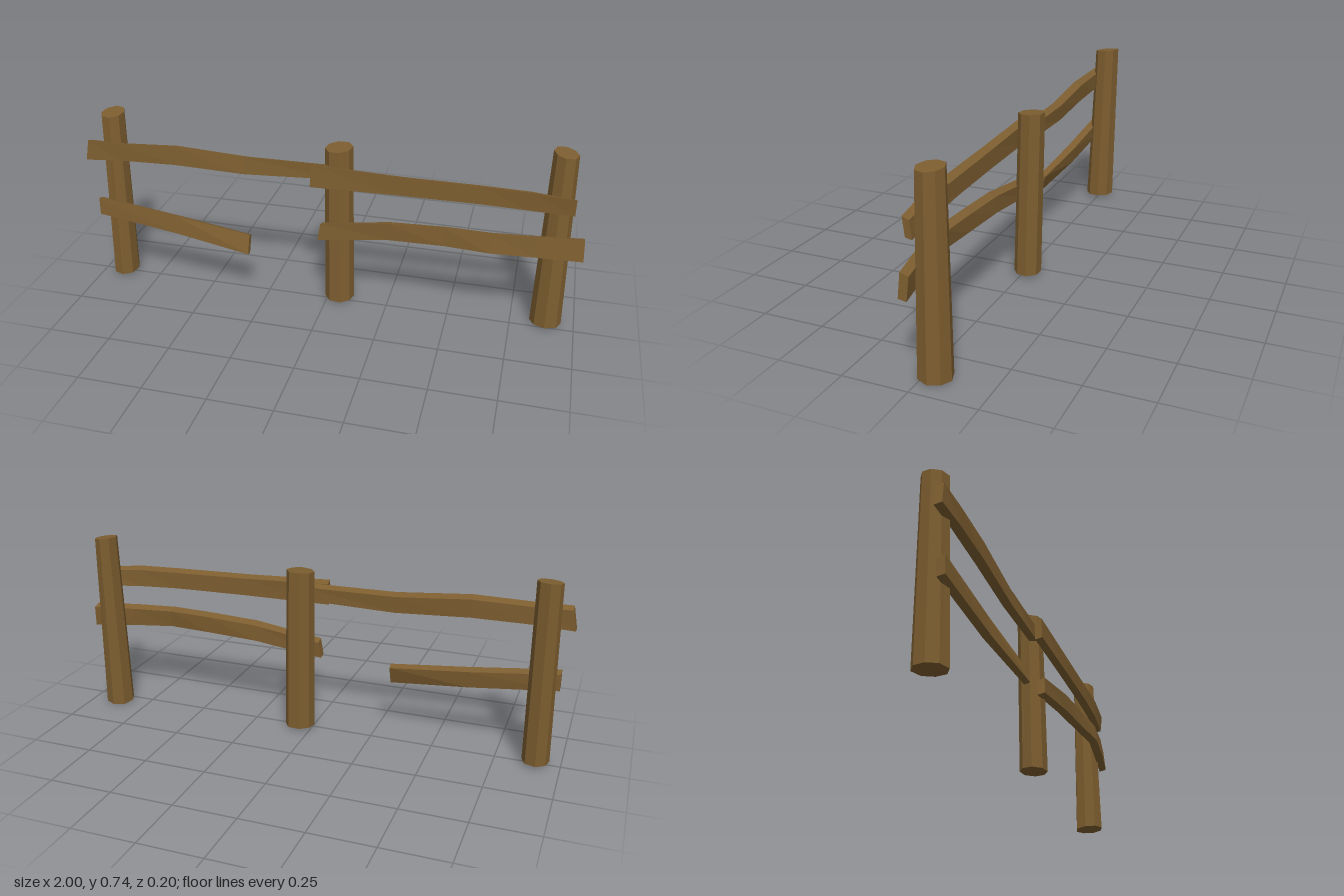
import * as THREE from 'three';

const wood = new THREE.MeshStandardMaterial({ color: 0x7d5e30, flatShading: true, roughness: 0.9 });

// Closed, capped solid through rings of corners (anticlockwise seen from the last ring's end)
function loft(name, rings) {
  const out = [];
  const tri = (a, b, c) => out.push(...a, ...b, ...c);
  const n = rings[0].length;
  for (let i = 0; i < rings.length - 1; i++) {
    for (let j = 0; j < n; j++) {
      const k = (j + 1) % n;
      const [a, b, c, d] = [rings[i][j], rings[i][k], rings[i + 1][k], rings[i + 1][j]];
      tri(a, b, c);
      tri(a, c, d);
    }
  }
  const first = rings[0], last = rings[rings.length - 1];
  for (let j = 1; j < n - 1; j++) {
    tri(last[0], last[j], last[j + 1]);
    tri(first[0], first[j + 1], first[j]);
  }
  const geo = new THREE.BufferGeometry();
  geo.setAttribute('position', new THREE.Float32BufferAttribute(out, 3));
  geo.computeVertexNormals();
  const mesh = new THREE.Mesh(geo, wood);
  mesh.name = name;
  return mesh;
}

// Rough-hewn eight-sided post; each end is [x0, x1, z0, z1, y, slope in x, slope in z]
const facets = [1, 0.94, 1, 1.05, 0.98, 0.95, 1, 1.03];
function post(name, bottom, top, turn) {
  const ring = ([x0, x1, z0, z1, y, sx, sz]) => facets.map((_, j) => {
    const a = (j / 8) * Math.PI * 2 + 0.12 * turn;
    const r = facets[(j + turn) % 8];
    const dx = Math.cos(a) * r * (x1 - x0) / 2;
    const dz = -Math.sin(a) * r * (z1 - z0) / 2;
    return [(x0 + x1) / 2 + dx, y + sx * dx + sz * dz, (z0 + z1) / 2 + dz];
  });
  return loft(name, [ring(bottom), ring(top)]);
}

// Warped plank; each section is [x, bottom y, top y, back z, front z, lean of top in z, lean of top in x]
function rail(name, sections) {
  return loft(name, sections.map(([x, y0, y1, z0, z1, lz = 0, lx = 0]) => [
    [x, y0, z0],
    [x + lx, y1 - 0.01, z0 + lz],
    [x + lx, y1, z1 + lz],
    [x, y0 + 0.005, z1],
  ]));
}

export function createModel() {
  const group = new THREE.Group();
  group.name = 'fence';

  // Posts
  group.add(
    post('rightPost', [-0.96, -0.85, -0.06, 0.06, 0.015, 0, -0.04], [-0.95, -0.85, -0.07, 0.03, 0.733, 0.05, -0.12], 1),
    post('middlePost', [-0.01, 0.11, -0.07, 0.04, 0.012, 0, -0.04], [-0.015, 0.095, -0.08, 0.025, 0.677, 0.05, -0.06], 2),
    post('leftPost', [0.825, 0.95, -0.1, 0.02, 0.007, 0, 0.08], [0.84, 0.935, -0.1, 0, 0.737, -0.13, -0.05], 0),
  );

  // Upper rails
  group.add(
    rail('upperRightRail', [
      [-1.0, 0.54, 0.63, 0.03, 0.06, -0.005, 0.015],
      [-0.85, 0.55, 0.628, 0.022, 0.055],
      [-0.62, 0.553, 0.635, 0.01, 0.046, -0.004],
      [-0.33, 0.54, 0.615, 0, 0.033, -0.006],
      [0.03, 0.552, 0.615, -0.012, 0.016],
    ]),
    rail('upperLeftRail', [
      [-0.055, 0.53, 0.625, 0.03, 0.06, -0.005, 0.003],
      [0.3, 0.532, 0.612, 0.018, 0.05],
      [0.6, 0.53, 0.607, 0.008, 0.042],
      [0.78, 0.523, 0.602, 0, 0.034, 0.004],
      [0.945, 0.51, 0.585, -0.01, 0.015, 0.008],
    ]),
  );

  // Lower rails, the first one broken short
  group.add(
    rail('brokenLowerRail', [
      [-0.965, 0.297, 0.375, 0.035, 0.065, -0.004],
      [-0.62, 0.255, 0.333, 0.045, 0.075, -0.01],
      [-0.305, 0.215, 0.297, 0.077, 0.1, -0.025],
    ]),
    rail('lowerLeftRail', [
      [-0.025, 0.3, 0.375, 0.028, 0.06, -0.005, 0.01],
      [0.26, 0.338, 0.414, 0.022, 0.058],
      [0.48, 0.345, 0.424, 0.028, 0.063, -0.004],
      [0.65, 0.345, 0.425, 0.04, 0.076, -0.01],
      [0.82, 0.338, 0.423, 0.015, 0.052, -0.006],
      [0.998, 0.325, 0.42, -0.011, 0.02, -0.008, -0.005],
    ]),
  );
  return group;
}
